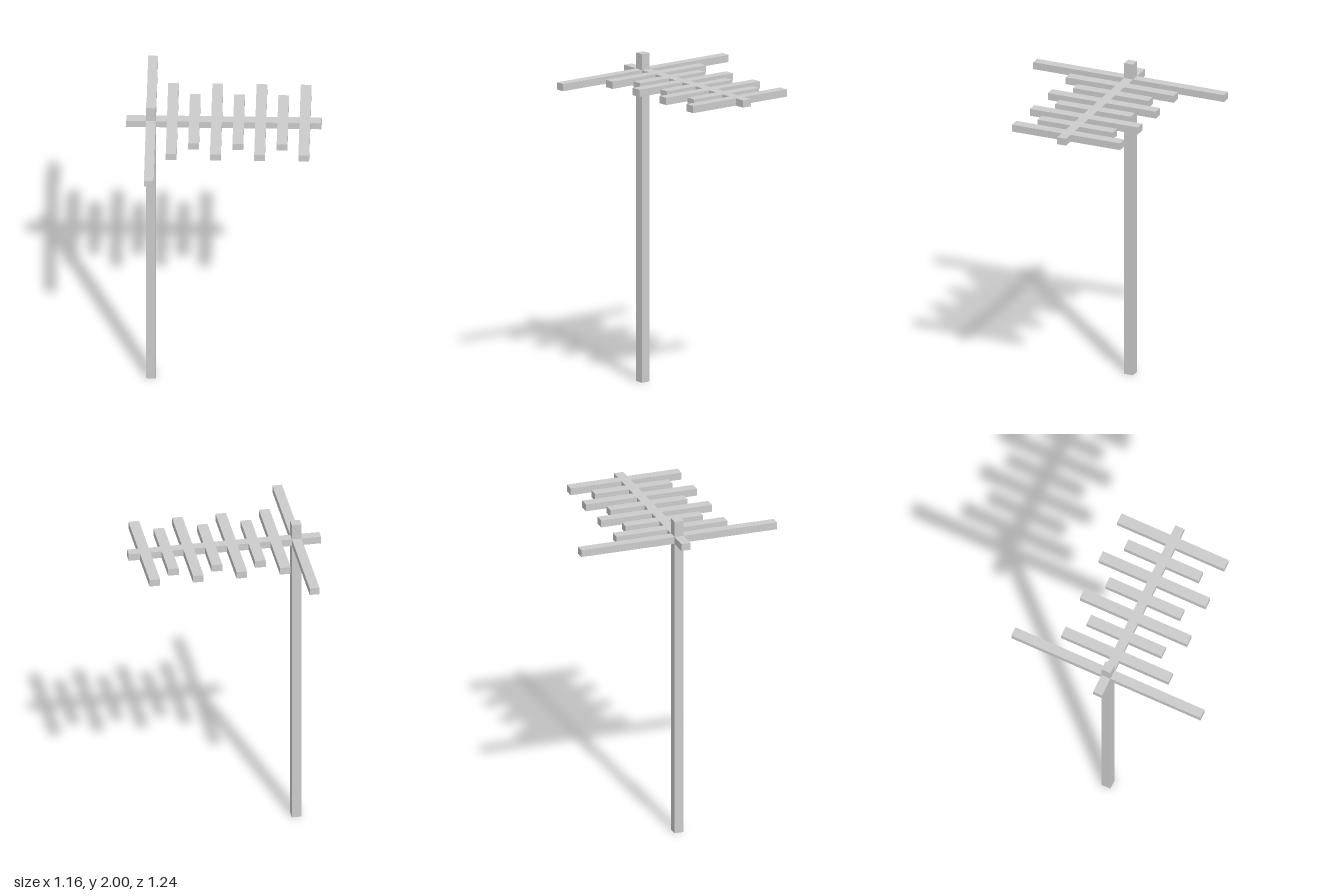
import * as THREE from 'three';

const material = new THREE.MeshStandardMaterial({ color: 0xcccccc, flatShading: true });

function addBar(parent, name, size, position) {
  const bar = new THREE.Mesh(new THREE.BoxGeometry(...size), material);
  bar.name = name;
  bar.position.set(...position);
  parent.add(bar);
}

export function createModel() {
  const antenna = new THREE.Group();
  antenna.name = 'antenna';

  const thick = 0.058;   // mast and boom width
  const barHeight = 0.044;
  const barY = 1.882;
  const mastX = -0.433;

  // Upright mast, passing through the boom
  addBar(antenna, 'mast', [thick, 2, thick], [mastX, 1, 0]);

  // Horizontal boom
  addBar(antenna, 'boom', [1.158, barHeight, thick], [0, barY, 0]);

  // Cross rods: each is a mirrored pair of arms butted against the boom
  const addRod = (name, x, width, halfLength) => {
    const rod = new THREE.Group();
    rod.name = name;
    const length = halfLength - thick / 2;
    for (const side of [1, -1]) {
      addBar(rod, side > 0 ? 'frontArm' : 'backArm', [width, barHeight, length],
        [x, barY, side * (thick + length) / 2]);
    }
    rod.position.y = 0;
    antenna.add(rod);
  };

  // Long reflector at the mast, then alternating long and short directors
  addRod('reflector', mastX, thick, 0.618);
  for (let i = 0; i < 7; i++) {
    addRod(`director${i + 1}`, -0.306 + i * 0.131, 0.064, i % 2 ? 0.244 : 0.35);
  }

  return antenna;
}
